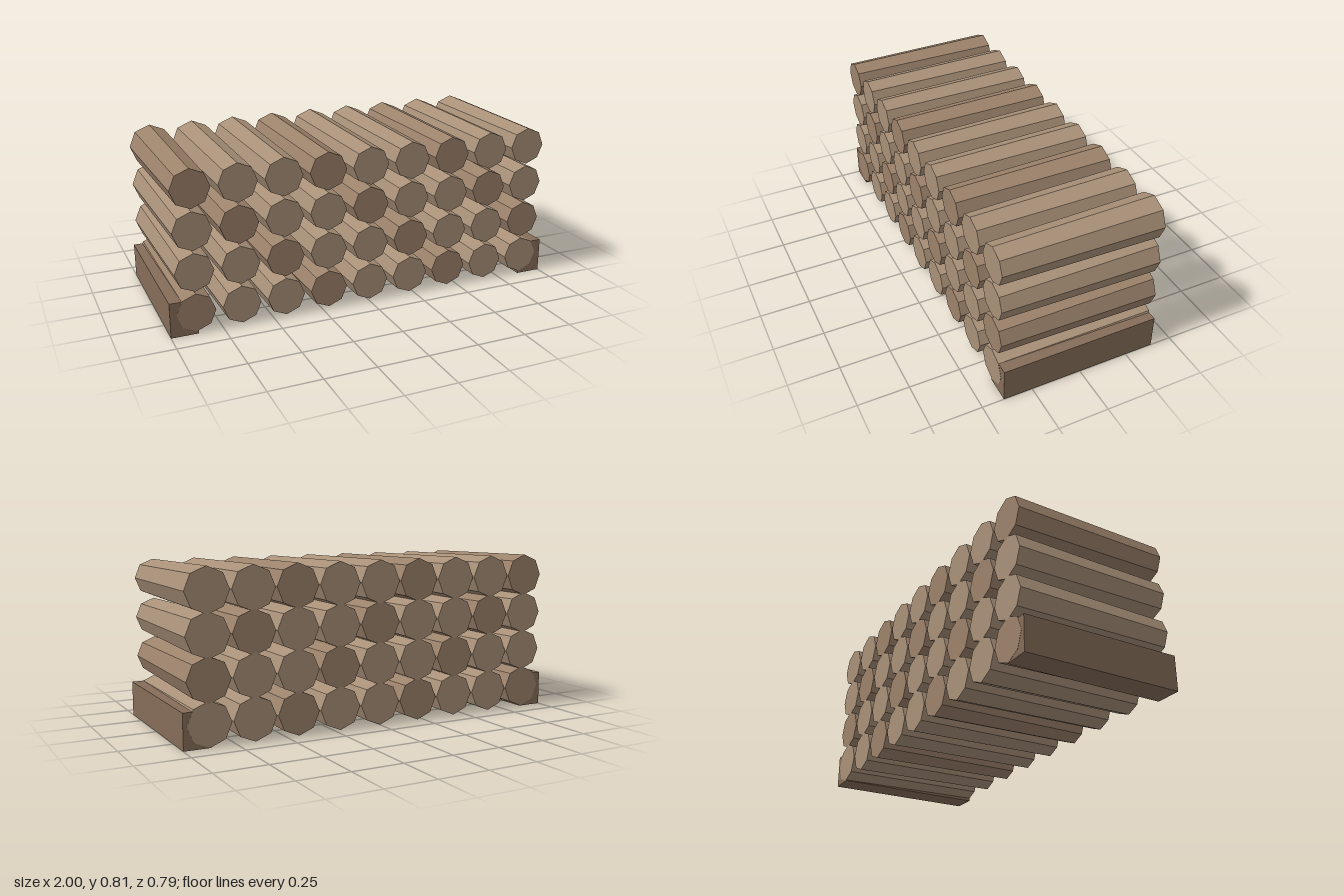
import * as THREE from 'three';

const COLUMNS = 9, ROWS = 4;
const LENGTH = 0.788;
const FRONT_RADIUS = 0.093, BACK_RADIUS = 0.106;
const PITCH_X = 0.219, PITCH_Y = 0.198;

export function createModel() {
  const model = new THREE.Group();
  model.name = 'logPile';

  const wood = (color) => new THREE.MeshStandardMaterial({ color, flatShading: true });
  const lightWood = wood(0xa89078);
  const darkWood = wood(0x9c826b);
  const railWood = wood(0x866d59);

  // Stacked eight-sided logs, thicker at the back end
  const logGeometry = new THREE.CylinderGeometry(FRONT_RADIUS, BACK_RADIUS, LENGTH, 8);
  logGeometry.rotateX(Math.PI / 2);
  for (let row = 0; row < ROWS; row++) {
    const layer = new THREE.Group();
    layer.name = `logRow${row + 1}`;
    layer.position.y = 0.107 + row * PITCH_Y;
    for (let col = 0; col < COLUMNS; col++) {
      const log = new THREE.Mesh(logGeometry, (row + col) % 3 === 0 ? darkWood : lightWood);
      log.name = `log${col + 1}`;
      log.position.x = (col - (COLUMNS - 1) / 2) * PITCH_X;
      layer.add(log);
    }
    model.add(layer);
  }

  // Square rails wedging the bottom row at both ends, a hair shorter than the logs
  const railGeometry = new THREE.BoxGeometry(0.13, 0.172, LENGTH - 0.002);
  for (const side of [-1, 1]) {
    const rail = new THREE.Mesh(railGeometry, railWood);
    rail.name = side > 0 ? 'leftRail' : 'rightRail';
    rail.position.set(side * 0.935, 0.086, 0);
    model.add(rail);
  }

  return model;
}
